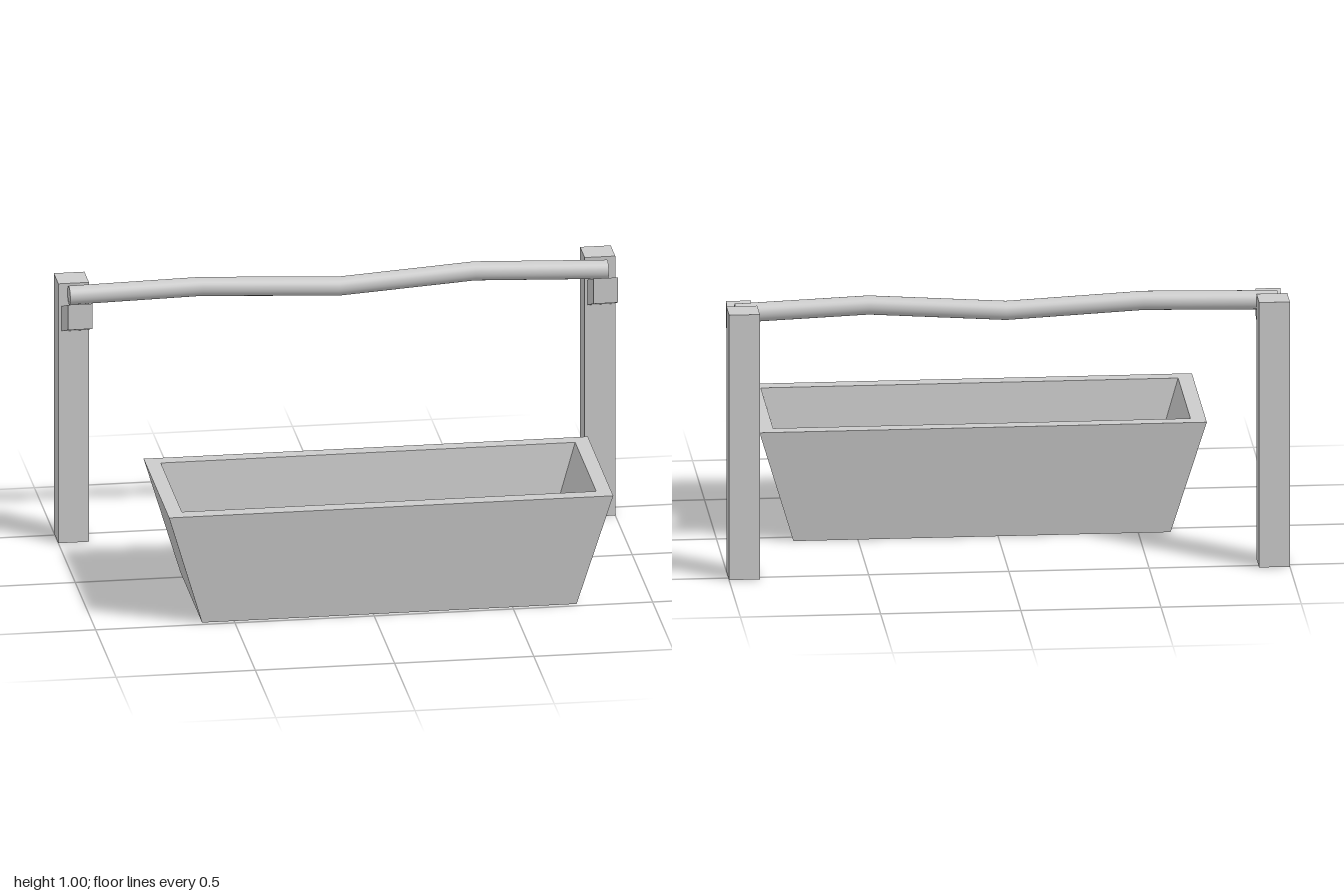
import * as THREE from 'three';

const material = new THREE.MeshStandardMaterial({ color: 0xcccccc });
const flatMaterial = new THREE.MeshStandardMaterial({ color: 0xcccccc, flatShading: true });

function addMesh(parent, name, geometry, mat, x = 0, y = 0, z = 0) {
  const mesh = new THREE.Mesh(geometry, mat);
  mesh.name = name;
  mesh.position.set(x, y, z);
  parent.add(mesh);
  return mesh;
}

// Skin a chain of four-cornered rings, closing the first and last
function ringSolid(rings) {
  const corners = rings.map(([x0, x1, z0, z1, y]) => [[x0, y, z1], [x1, y, z1], [x1, y, z0], [x0, y, z0]]);
  const pos = [];
  const quad = (a, b, c, d) => pos.push(...a, ...b, ...c, ...a, ...c, ...d);
  for (let r = 0; r < corners.length - 1; r++) {
    for (let i = 0; i < 4; i++) {
      const j = (i + 1) % 4;
      quad(corners[r][i], corners[r][j], corners[r + 1][j], corners[r + 1][i]);
    }
  }
  quad(...[...corners[0]].reverse());
  quad(...corners[corners.length - 1]);
  const g = new THREE.BufferGeometry();
  g.setAttribute('position', new THREE.Float32BufferAttribute(pos, 3));
  g.computeVertexNormals();
  return g;
}

// Box whose front end is raised by a shear along z
function bracketGeometry() {
  const g = new THREE.BoxGeometry(0.088, 0.095, 0.155);
  const p = g.attributes.position;
  for (let i = 0; i < p.count; i++) p.setY(i, p.getY(i) + p.getZ(i) * 0.387);
  g.computeVertexNormals();
  return g;
}

// Round pole bent at a few stations along x
function railGeometry() {
  const stations = [[-0.967, 0.947], [-0.49, 0.956], [0, 0.931], [0.49, 0.963], [0.967, 0.944]];
  const g = new THREE.CylinderGeometry(0.034, 0.034, 4, 24, 4);
  g.rotateZ(-Math.PI / 2);
  const p = g.attributes.position;
  for (let i = 0; i < p.count; i++) {
    const [x, y] = stations[Math.round(p.getX(i) + 2)];
    p.setXYZ(i, x, p.getY(i) + y, p.getZ(i));
  }
  return g;
}

export function createModel() {
  const model = new THREE.Group();
  model.name = 'troughAndHitchingRail';

  // Hollow trough: outer bottom, outer rim, inner rim, inner floor
  addMesh(model, 'trough', ringSolid([
    [-0.615, 0.73, -0.05, 0.48, 0],
    [-0.74, 0.855, -0.1, 0.525, 0.418],
    [-0.686, 0.802, -0.047, 0.469, 0.418],
    [-0.59, 0.705, -0.015, 0.435, 0.1],
  ]), flatMaterial);

  // Posts with their rail brackets
  for (const [side, s] of [['left', 1], ['right', -1]]) {
    addMesh(model, side + 'Post', new THREE.BoxGeometry(0.11, 0.98, 0.112), flatMaterial, s * 0.945, 0.49, -0.47);
    addMesh(model, side + 'Bracket', bracketGeometry(), flatMaterial, s * 0.944, 0.8775, -0.3375);
  }

  // Rail resting on the brackets
  addMesh(model, 'rail', railGeometry(), material, 0, 0, -0.38);
  return model;
}
